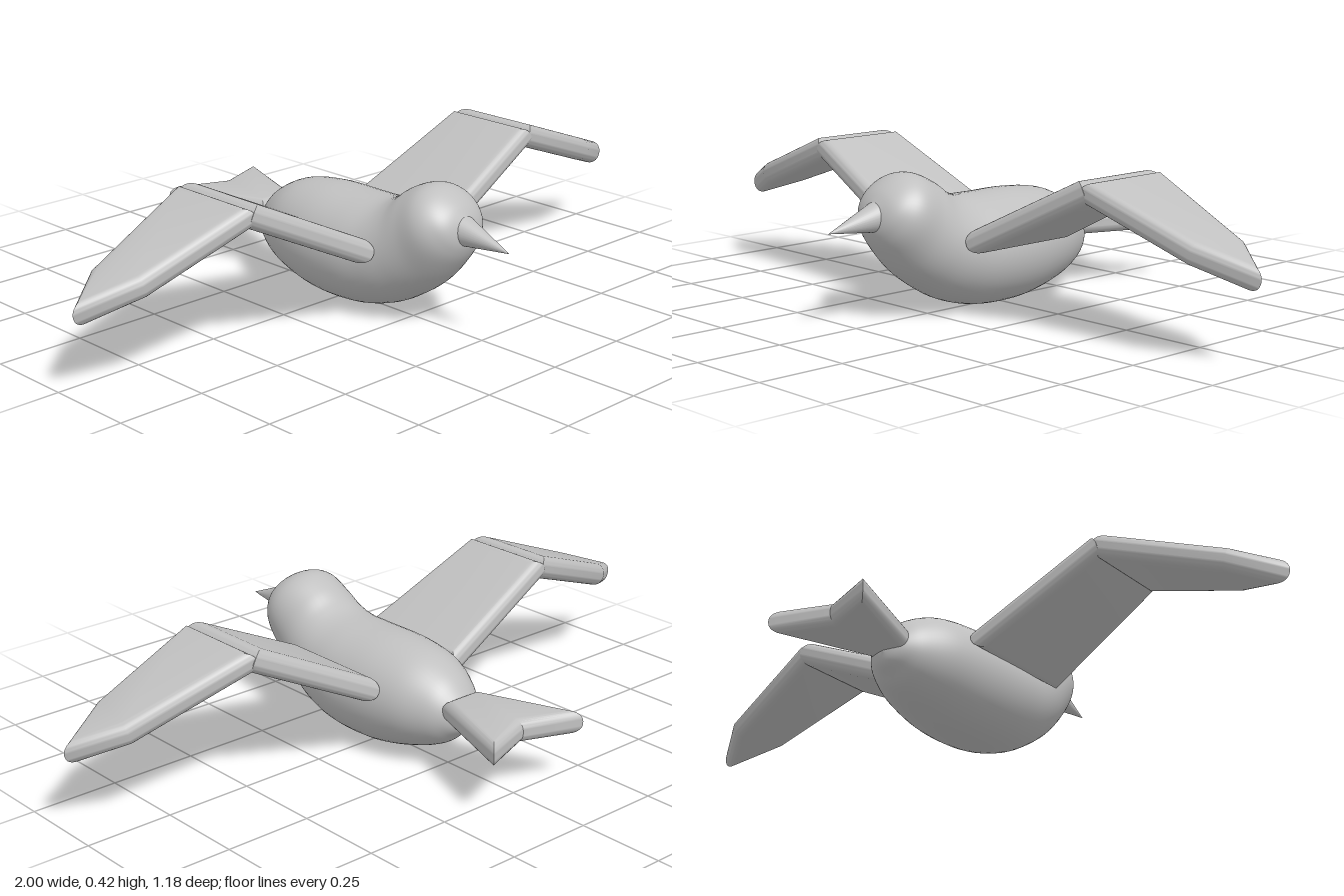
import * as THREE from 'three';
import { toCreasedNormals } from 'three/addons/utils/BufferGeometryUtils.js';

// Smooth body and head: tilted elliptical sections, each spanning a back point and a belly point
function bodyGeometry() {
  // [half width, top y, top z, bottom y, bottom z]
  const stations = [
    [0, 0.152, -0.323, 0.152, -0.323],
    [0.033, 0.188, -0.316, 0.122, -0.314],
    [0.068, 0.222, -0.295, 0.098, -0.29],
    [0.102, 0.265, -0.25, 0.065, -0.25],
    [0.14, 0.303, -0.17, 0.032, -0.165],
    [0.162, 0.318, -0.06, 0.006, -0.04],
    [0.166, 0.318, 0.07, 0.008, 0.1],
    [0.153, 0.322, 0.155, 0.036, 0.21],
    [0.138, 0.34, 0.205, 0.085, 0.3],
    [0.127, 0.372, 0.25, 0.135, 0.365],
    [0.12, 0.398, 0.31, 0.195, 0.415],
    [0.098, 0.394, 0.36, 0.235, 0.438],
    [0.062, 0.363, 0.41, 0.27, 0.446],
    [0, 0.318, 0.443, 0.318, 0.443],
  ];
  const curve = (f) => new THREE.CatmullRomCurve3(stations.map(f), false, 'catmullrom');
  const top = curve((s) => new THREE.Vector3(s[0], s[1], s[2]));
  const bottom = curve((s) => new THREE.Vector3(s[0], s[3], s[4]));
  const rings = 78, sides = 48, pos = [], index = [];
  for (let i = 0; i <= rings; i++) {
    const t = top.getPoint(i / rings), b = bottom.getPoint(i / rings);
    for (let j = 0; j < sides; j++) {
      const a = (j / sides) * Math.PI * 2, c = Math.cos(a);
      pos.push(t.x * Math.sin(a),
        (t.y + b.y) / 2 + c * (t.y - b.y) / 2,
        (t.z + b.z) / 2 + c * (t.z - b.z) / 2);
      if (i < rings) {
        const k = (j + 1) % sides, p = i * sides, q = p + sides;
        if (i < rings - 1) index.push(p + j, q + j, q + k);
        else index.push(p + j, q + j, p + k);
        if (i > 0 && i < rings - 1) index.push(p + j, q + k, p + k);
      }
    }
  }
  const g = new THREE.BufferGeometry();
  g.setAttribute('position', new THREE.Float32BufferAttribute(pos, 3));
  g.setIndex(index);
  g.computeVertexNormals();
  return g;
}

// Flat slab with fully rounded rims, outlined by [x, z] points
function slabGeometry(points) {
  const g = new THREE.ExtrudeGeometry(
    new THREE.Shape(points.map(([x, z]) => new THREE.Vector2(x, z))),
    { depth: 0.006, bevelThickness: 0.03, bevelSize: 0.03, bevelOffset: -0.03, bevelSegments: 8 });
  g.translate(0, 0, -0.003);
  g.rotateX(Math.PI / 2);
  return toCreasedNormals(g, 0.5);
}

export function createModel() {
  const model = new THREE.Group();
  model.name = 'bird';
  const grey = new THREE.MeshStandardMaterial({ color: 0xc0c0c0 });
  grey.name = 'plain grey';
  const add = (name, geometry) => {
    const mesh = new THREE.Mesh(geometry, grey);
    mesh.name = name;
    model.add(mesh);
    return mesh;
  };

  add('body', bodyGeometry());

  // Beak, dipping slightly toward its tip
  const base = new THREE.Vector3(0, 0.292, 0.42), tip = new THREE.Vector3(0, 0.267, 0.588);
  const dir = tip.clone().sub(base);
  const beak = add('beak', new THREE.ConeGeometry(0.043, dir.length(), 32));
  beak.position.copy(base).add(tip).multiplyScalar(0.5);
  beak.quaternion.setFromUnitVectors(new THREE.Vector3(0, 1, 0), dir.normalize());

  // Forked tail
  add('tail', slabGeometry([
    [0.062, -0.29], [0.165, -0.588], [0, -0.53], [-0.165, -0.588], [-0.062, -0.29],
  ])).position.y = 0.187;

  // Wings: inner panel rises to the elbow, outer panel falls to the tip
  const panels = [
    ['InnerWing', 0.145, 0.211, 0.454, [[0, -0.13], [0, 0.24], [0.428, 0.2], [0.428, -0.09]]],
    ['OuterWing', 0.52, 0.396, -0.355,
      [[0, -0.09], [0, 0.2], [0.345, 0.16], [0.512, 0.08], [0.375, -0.016]]],
  ];
  for (const [side, s] of [['left', 1], ['right', -1]]) {
    for (const [name, x, y, angle, outline] of panels) {
      const panel = add(side + name, slabGeometry(outline.map(([u, z]) => [s * u, z])));
      panel.position.set(s * x, y, 0);
      panel.rotation.z = s * angle;
    }
  }
  return model;
}
